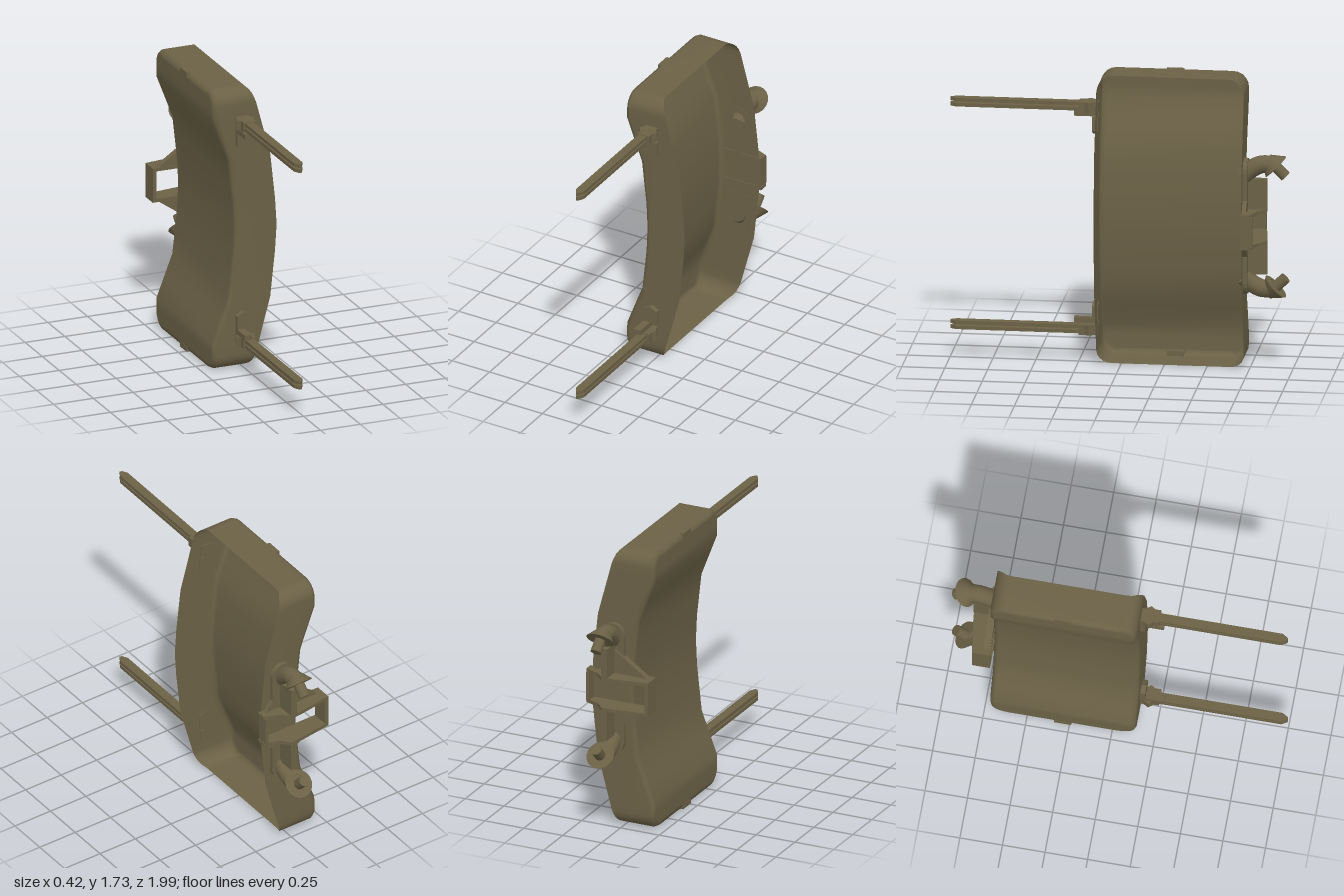
import * as THREE from 'three';

const MID = 0.8625; // height of the mirror plane
const drab = new THREE.MeshStandardMaterial({ color: 0x6b6146, side: THREE.DoubleSide });
drab.name = 'olive drab';

function mesh(name, geometry, parent) {
  const m = new THREE.Mesh(geometry, drab);
  m.name = name;
  parent.add(m);
  return m;
}

// Box given by its limits on each axis
function box(name, parent, [x0, x1], [y0, y1], [z0, z1]) {
  const m = mesh(name, new THREE.BoxGeometry(x1 - x0, y1 - y0, z1 - z0), parent);
  m.position.set((x0 + x1) / 2, (y0 + y1) / 2, (z0 + z1) / 2);
  return m;
}

// Outline in x,y pushed along z
function slabXY(name, parent, pts, z0, z1) {
  const shape = new THREE.Shape(pts.map(p => new THREE.Vector2(...p)));
  const g = new THREE.ExtrudeGeometry(shape, { depth: z1 - z0, bevelEnabled: false });
  return mesh(name, g.translate(0, 0, z0), parent);
}

// Outline in x,z pushed along y
function slabXZ(name, parent, pts, y0, y1) {
  const shape = new THREE.Shape(pts.map(([x, z]) => new THREE.Vector2(x, -z)));
  const g = new THREE.ExtrudeGeometry(shape, { depth: y1 - y0, bevelEnabled: false });
  return mesh(name, g.rotateX(-Math.PI / 2).translate(0, y0, 0), parent);
}

// Piecewise linear lookup; table rows are [distance from mid height, x]
function lookup(table, d) {
  for (let i = 1; i < table.length; i++) {
    const [a, xa] = table[i - 1], [b, xb] = table[i];
    if (d <= b) return xa + (xb - xa) * (d - a) / (b - a);
  }
  return table[table.length - 1][1];
}
const FLOOR = [[0, -0.063], [0.16, -0.07], [0.44, -0.1], [0.71, -0.2], [0.87, -0.2]];
const RIM = [[0, 0.2], [0.16, 0.19], [0.44, 0.16], [0.775, 0.07], [0.838, 0.047], [0.8625, 0.02]];

// Bowed open tray: floor on -x, thin walls around, open on +x
function trayGeometry() {
  const H = 0.8625, Z0 = -0.72, Z1 = 0.14, R = 0.09;
  const half = [];
  for (let i = 0; i <= 5; i++) {
    const a = Math.PI / 2 * (1 - i / 5);
    half.push([H - R + R * Math.sin(a), R - R * Math.cos(a)]); // height, inset in z
  }
  half.push([0.71, 0], [0.575, 0], [0.44, 0], [0.3, 0], [0.16, 0]);
  const rows = [...half, [0, 0], ...half.slice().reverse().map(([y, s]) => [-y, s])];
  const outline = [
    ...rows.map(([y, s]) => [y, Z1 - s]),
    ...rows.slice().reverse().map(([y, s]) => [y, Z0 + s]),
  ];
  // rings: [inset, height over floor]; the last one is the rim
  const rings = [[0.03, 0], [0.009, 0.009], [0, 0.03], [0, null]];
  const pos = [], idx = [], n = outline.length, zc = (Z0 + Z1) / 2, hz = (Z1 - Z0) / 2;
  for (const [inset, lift] of rings) {
    for (const [y, z] of outline) {
      const d = Math.abs(y);
      const x = lift === null ? lookup(RIM, d) : lookup(FLOOR, d) + lift;
      pos.push(x, y * (1 - inset / H), zc + (z - zc) * (1 - inset / hz));
    }
  }
  for (let r = 0; r < rings.length - 1; r++) {
    for (let i = 0; i < n; i++) {
      const a = r * n + i, b = r * n + (i + 1) % n;
      idx.push(a, a + n, b, b, a + n, b + n);
    }
  }
  for (let i = 0; i < rows.length - 1; i++) { // floor strips
    const a = i, b = i + 1, c = n - 1 - i, d = n - 2 - i;
    idx.push(a, b, c, b, d, c);
  }
  const g = new THREE.BufferGeometry();
  g.setAttribute('position', new THREE.Float32BufferAttribute(pos, 3));
  g.setIndex(idx);
  g.computeVertexNormals();
  return g;
}

// Upper half fittings, heights measured from the mirror plane
function buildHalf() {
  const half = new THREE.Group();

  // two-bladed spike with a pointed tip
  const blade = [[-0.045, 0.2], [0.008, 0.2], [0.008, 0.965], [-0.012, 1], [-0.025, 1], [-0.045, 0.965]];
  slabXZ('spikeBlade', half, blade, 0.643, 0.664);
  slabXZ('spikeBlade', half, blade, 0.674, 0.694);

  // spike bracket
  slabXZ('spikeBracket', half, [[-0.06, 0.135], [0.02, 0.135], [0.02, 0.16], [0.04, 0.19],
    [0.025, 0.215], [0.025, 0.25], [-0.055, 0.25], [-0.055, 0.215], [-0.078, 0.19], [-0.06, 0.16]], 0.637, 0.698);
  box('bracketTab', half, [-0.06, -0.015], [0.605, 0.637], [0.135, 0.28]);
  slabXY('bracketPlate', half, [[-0.06, 0.61], [0.027, 0.61], [0.027, 0.525],
    [-0.016, 0.502], [-0.06, 0.525]], 0.135, 0.17);

  // end slot lug
  box('endLug', half, [-0.203, -0.17], [0.832, 0.862], [-0.34, -0.24]);

  // sight frame shelf
  slabXZ('frameShelf', half, [[-0.212, -0.715], [0.21, -0.715], [0.21, -0.77], [0.12, -0.805],
    [0.07, -0.855], [0, -0.85], [-0.212, -0.82]], 0.085, 0.105);

  // post and gusset over the shelf
  box('framePost', half, [0.035, 0.075], [0.1, 0.285], [-0.855, -0.715]);
  slabXY('frameGusset', half, [[-0.18, 0.1], [0.05, 0.1], [0.05, 0.26]], -0.76, -0.72);
  slabXY('frameGusset', half, [[0.18, 0.1], [0.06, 0.25], [0.06, 0.1]], -0.745, -0.72);

  // round-topped mounting plate
  const arch = [[-0.02, 0.17], [0.13, 0.17]];
  for (let i = 0; i <= 10; i++) {
    const a = Math.PI * i / 10;
    arch.push([0.055 + 0.075 * Math.cos(a), 0.33 + 0.075 * Math.sin(a)]);
  }
  slabXY('mountPlate', half, arch, -0.745, -0.717);

  // elbow arm, flared socket and plug
  const path = new THREE.CatmullRomCurve3([
    new THREE.Vector3(0.055, 0.305, -0.72),
    new THREE.Vector3(0.055, 0.35, -0.775),
    new THREE.Vector3(0.055, 0.372, -0.825),
    new THREE.Vector3(0.055, 0.37, -0.88),
  ]);
  mesh('socketArm', new THREE.TubeGeometry(path, 10, 0.052, 14), half);
  const tilt = Math.PI / 4; // +y axis leans toward +z
  const socket = mesh('socket', new THREE.CylinderGeometry(0.03, 0.085, 0.07, 18), half);
  socket.position.set(0.055, 0.384, -0.88);
  socket.rotation.x = tilt;
  const plug = mesh('socketPlug', new THREE.CylinderGeometry(0.033, 0.033, 0.09, 14), half);
  plug.position.set(0.055, 0.336, -0.93);
  plug.rotation.x = tilt;
  return half;
}

export function createModel() {
  const model = new THREE.Group();
  model.name = 'curvedTrayOnSpikes';
  const core = new THREE.Group();
  core.name = 'core';
  core.position.y = MID;
  model.add(core);

  mesh('trayShell', trayGeometry(), core);

  // sight frame end walls
  box('frameEnd', core, [-0.212, -0.19], [-0.09, 0.09], [-0.82, -0.715]);
  box('frameEnd', core, [0.185, 0.205], [-0.09, 0.09], [-0.785, -0.715]);

  // mirrored fittings
  for (const s of [1, -1]) {
    const half = buildHalf();
    half.name = s > 0 ? 'upperFittings' : 'lowerFittings';
    half.scale.y = s;
    core.add(half);
  }
  return model;
}
